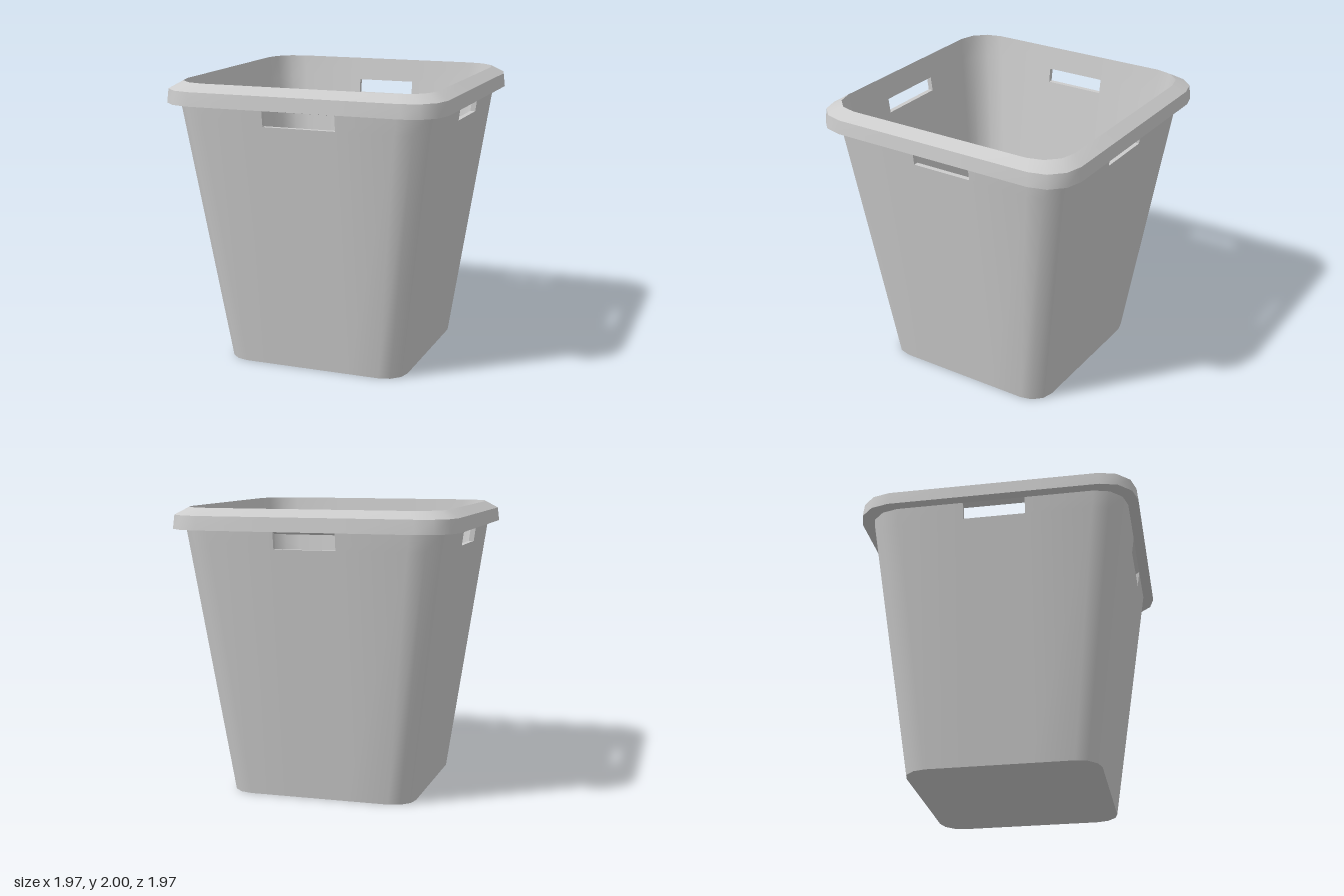
import * as THREE from 'three';
import { toCreasedNormals } from 'three/addons/utils/BufferGeometryUtils.js';

// Handle slots per side (front, left, back, right), measured along the side's tangent
const SLOTS = [[-0.235, 0.275], [-0.185, 0.25], [-0.225, 0.2], [-0.22, 0.215]];
const SLOT_BOTTOM = 1.735, UNDERSIDE = 1.855, SLOT_TOP_INNER = 1.835, FLOOR = 0.02;
const CORNER_STEPS = 3;
const PER_SIDE = 4 + CORNER_STEPS - 1;

// Rounded square ring, counterclockwise from above, with extra points at the slot edges
function ring({ half, radius, y }) {
  const points = [];
  const s = half - radius;
  for (let side = 0; side < 4; side++) {
    const turn = side * Math.PI / 2;
    const add = (t, n) => points.push(new THREE.Vector3(
      t * Math.cos(turn) + n * Math.sin(turn), y, n * Math.cos(turn) - t * Math.sin(turn)));
    for (const t of [-s, ...SLOTS[side], s]) add(t, half);
    for (let i = 1; i < CORNER_STEPS; i++) {
      const a = i / CORNER_STEPS * Math.PI / 2;
      add(s + radius * Math.sin(a), s + radius * Math.cos(a));
    }
  }
  return points;
}

// Tapered wall sections at a given height
const outerAt = y => ({
  half: THREE.MathUtils.mapLinear(y, 0, UNDERSIDE, 0.655, 0.91),
  radius: THREE.MathUtils.mapLinear(y, 0, UNDERSIDE, 0.16, 0.22), y });
const innerAt = y => ({
  half: THREE.MathUtils.mapLinear(y, FLOOR, 2, 0.615, 0.895),
  radius: THREE.MathUtils.mapLinear(y, FLOOR, 2, 0.155, 0.22), y });

const quad = (out, a, b, c, d) => out.push(a, b, c, a, c, d);

// Skin between successive rings, leaving the slots open in one band
function loft(rings, slotBand = -1) {
  const out = [];
  for (let j = 0; j < rings.length - 1; j++) {
    const lo = rings[j], hi = rings[j + 1];
    for (let i = 0; i < lo.length; i++) {
      if (j === slotBand && i % PER_SIDE === 1) continue;
      const k = (i + 1) % lo.length;
      quad(out, lo[i], lo[k], hi[k], hi[i]);
    }
  }
  return out;
}

// Flat fan closing a ring
function cap(points, up) {
  const out = [];
  const centre = new THREE.Vector3(0, points[0].y, 0);
  points.forEach((p, i) => {
    const q = points[(i + 1) % points.length];
    out.push(centre, ...(up ? [p, q] : [q, p]));
  });
  return out;
}

export function createModel() {
  const group = new THREE.Group();
  const material = new THREE.MeshStandardMaterial({ color: 0xcccccc });
  const addPart = (name, triangles) => {
    const geometry = toCreasedNormals(new THREE.BufferGeometry().setFromPoints(triangles), 0.6);
    const mesh = new THREE.Mesh(geometry, material);
    mesh.name = name;
    group.add(mesh);
  };

  const outer = [0, SLOT_BOTTOM, UNDERSIDE].map(y => ring(outerAt(y)));
  const inner = [2, SLOT_TOP_INNER, SLOT_BOTTOM, FLOOR].map(y => ring(innerAt(y)));

  addPart('outerWall', loft(outer, 1));
  addPart('innerWall', loft(inner, 1));
  addPart('underside', cap(outer[0], false));
  addPart('floor', cap(inner[3], true));

  // Rim: flat underside, near-vertical lip, bevelled top
  addPart('rim', loft([
    outer[2],
    ring({ half: 0.985, radius: 0.245, y: UNDERSIDE }),
    ring({ half: 0.975, radius: 0.24, y: 1.95 }),
    inner[0],
  ]));

  // Slot linings through the wall thickness
  ['front', 'left', 'back', 'right'].forEach((name, side) => {
    const a = side * PER_SIDE + 1, b = a + 1;
    const p = [outer[1][a], outer[1][b], outer[2][b], outer[2][a]];
    const q = [inner[2][a], inner[2][b], inner[1][b], inner[1][a]];
    const out = [];
    for (let i = 0; i < 4; i++) {
      const k = (i + 1) % 4;
      quad(out, p[i], p[k], q[k], q[i]);
    }
    addPart(name + 'HandleSlot', out);
  });

  return group;
}
